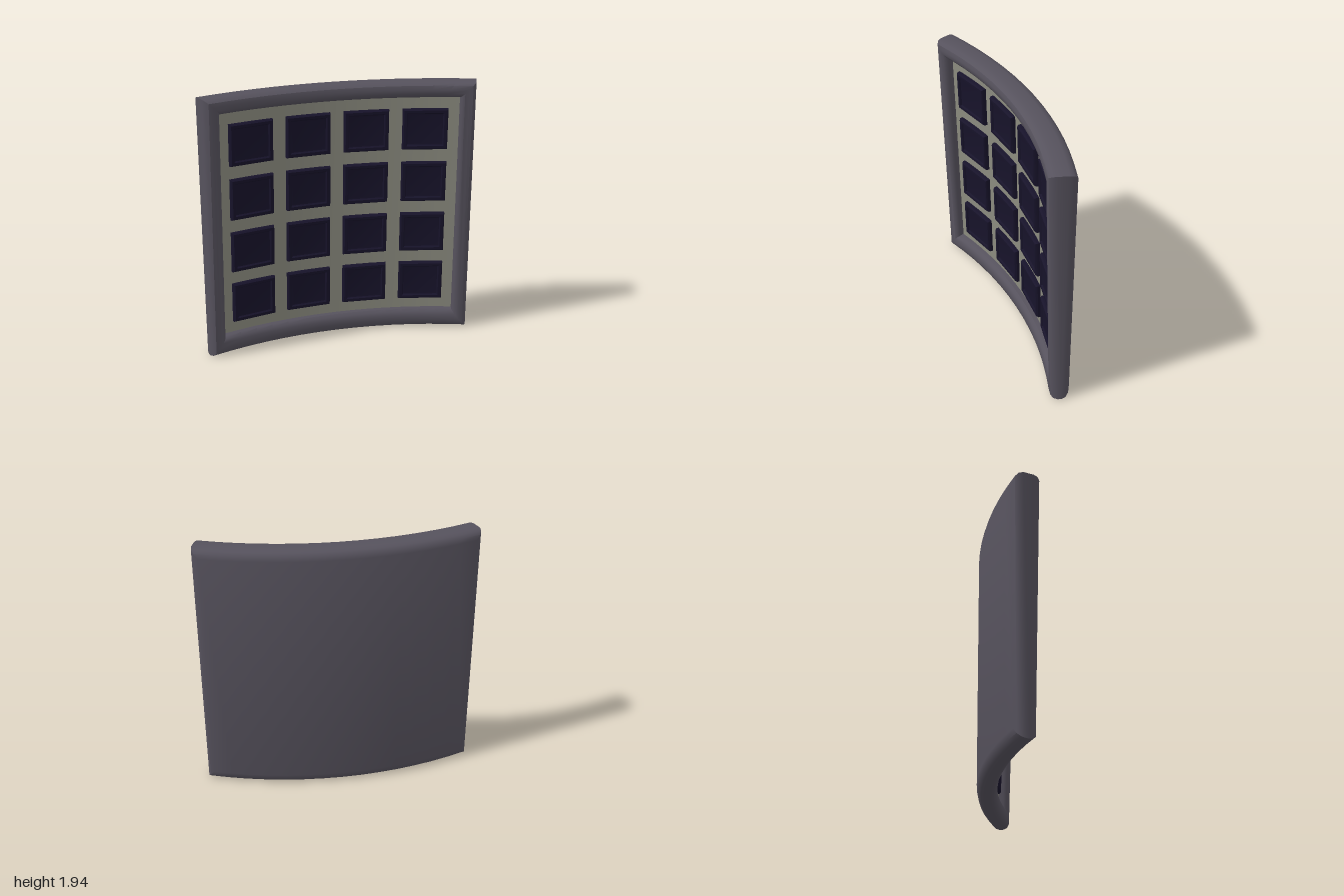
import * as THREE from 'three';
import { toCreasedNormals } from 'three/addons/utils/BufferGeometryUtils.js';

const HEIGHT = 1.94;
const RADIUS = 3.0;        // radius of the curved back
const HALF_ANGLE = 0.347;  // half of the arc covered
const RECESS = 0.07;       // depth of the panel behind the rim

// The slab is thinner at the bottom than at the top
const thickness = (y) => 0.145 + 0.055 * y / HEIGHT;

// Angle, height and depth (measured from the back) to a point on the bent slab
function bend(a, y, d) {
  const r = RADIUS - d;
  return [r * Math.sin(a), y, RADIUS - 0.175 - r * Math.cos(a)];
}

// Lofts rectangular rings over the bent slab. Each profile entry is
// [inset, depth, fromFront]; rect is {a0, a1, y0, y1}.
function loft(rect, profile, n, { back = false, front = false, low = 1 } = {}) {
  const pos = [], idx = [], m = 2 * n + 2;
  for (const [inset, depth, fromFront] of profile) {
    const a0 = rect.a0 + inset / 2.9, a1 = rect.a1 - inset / 2.9;
    const y0 = rect.y0 + inset * low, y1 = rect.y1 - inset;
    const add = (t, y) => pos.push(...bend(a0 + (a1 - a0) * t, y, fromFront ? thickness(y) - depth : depth));
    for (let k = 0; k <= n; k++) add(k / n, y0);
    for (let k = n; k >= 0; k--) add(k / n, y1);
  }
  for (let i = 0; i < profile.length - 1; i++) {
    for (let k = 0; k < m; k++) {
      const a = i * m + k, b = i * m + (k + 1) % m;
      idx.push(a, b, b + m, a, b + m, a + m);
    }
  }
  const last = (profile.length - 1) * m;
  for (let k = 0; k < n; k++) {
    const top = m - 1 - k;
    if (back) idx.push(k, top, top - 1, k, top - 1, k + 1);
    if (front) idx.push(last + k, last + k + 1, last + top - 1, last + k, last + top - 1, last + top);
  }
  const g = new THREE.BufferGeometry();
  g.setAttribute('position', new THREE.Float32BufferAttribute(pos, 3));
  g.setIndex(idx);
  return toCreasedNormals(g, 0.6);
}

export function createModel() {
  const group = new THREE.Group();
  const material = (color) => new THREE.MeshStandardMaterial({ color });
  const frameMat = material(0x56525d);
  const panelMat = material(0x8c8c80);
  const tileMat = material(0x17132a);
  const add = (name, geometry, mat, parent = group) => {
    const mesh = new THREE.Mesh(geometry, mat);
    mesh.name = name;
    parent.add(mesh);
  };
  const outline = { a0: -HALF_ANGLE, a1: HALF_ANGLE, y0: 0, y1: HEIGHT };

  // Curved back shell with a rounded rim
  add('frame', loft(outline, [
    [0.06, 0], [0.028, 0.009], [0.008, 0.03], [0, 0.06],
    [0, 0.06, true], [0.006, 0.03, true], [0.022, 0.009, true], [0.05, 0, true],
    [0.08, 0.003, true], [0.1, 0.014, true], [0.112, 0.035, true], [0.113, RECESS + 0.01, true],
  ], 14, { back: true, low: 1.25 }), frameMat);

  // Recessed panel
  add('panel', loft(outline, [
    [0.112, RECESS + 0.01, true], [0.112, RECESS, true],
  ], 14, { front: true, low: 1.25 }), panelMat);

  // Four by four raised tiles, each with a dished face
  const tiles = new THREE.Group();
  tiles.name = 'tiles';
  group.add(tiles);
  const tileProfile = [
    [0, RECESS + 0.005, true], [0, RECESS - 0.022, true], [0.009, RECESS - 0.035, true],
    [0.028, RECESS - 0.035, true], [0.037, RECESS - 0.024, true], [0.048, RECESS - 0.022, true],
  ];
  for (let row = 0; row < 4; row++) {
    for (let col = 0; col < 4; col++) {
      const a = (col - 1.5) * 0.149, y = 0.38 + row * 0.402;
      const rect = { a0: a - 0.057, a1: a + 0.057, y0: y - 0.152, y1: y + 0.152 };
      add('tile', loft(rect, tileProfile, 1, { front: true }), tileMat, tiles);
    }
  }
  return group;
}
